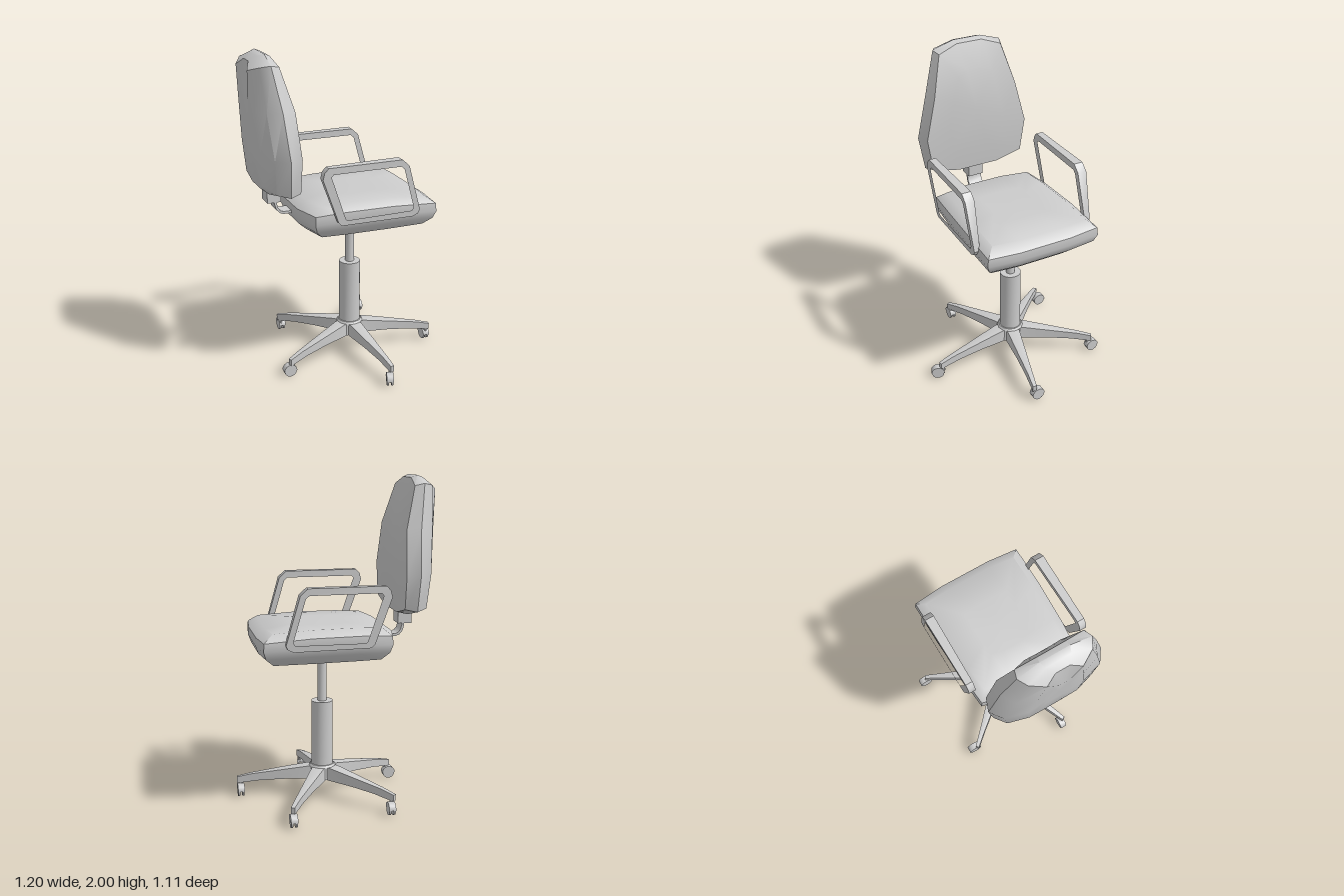
import * as THREE from 'three';
import { toCreasedNormals } from 'three/addons/utils/BufferGeometryUtils.js';

const CX = 0.07, CZ = -0.038; // column axis
const lerp = THREE.MathUtils.lerp;
const material = new THREE.MeshStandardMaterial({ color: 0xcccccc });

function add(parent, name, geometry, crease = 0.6) {
  const mesh = new THREE.Mesh(toCreasedNormals(geometry, crease), material);
  mesh.name = name;
  parent.add(mesh);
  return mesh;
}

// Piecewise-linear lookup in a list of [x, y]
function curve(points, x) {
  for (let i = 1; i < points.length; i++) {
    const [x0, y0] = points[i - 1], [x1, y1] = points[i];
    if (x <= x1) return lerp(y0, y1, THREE.MathUtils.clamp((x - x0) / (x1 - x0), 0, 1));
  }
  return points[points.length - 1][1];
}

// Closed cushion: a flat outline is scaled per layer [scaleU, scaleV, t] and placed in space by map(u, v, t)
function cushion(outline, centre, layers, map) {
  const positions = [], index = [], n = outline.length;
  for (const [su, sv, t] of layers) {
    for (const [u, v] of outline) {
      positions.push(...map(centre[0] + (u - centre[0]) * su, centre[1] + (v - centre[1]) * sv, t));
    }
  }
  for (let i = 0; i < layers.length - 1; i++) {
    for (let j = 0; j < n; j++) {
      const a = i * n + j, b = i * n + (j + 1) % n, c = b + n, d = a + n;
      index.push(a, d, c, a, c, b);
    }
  }
  const geometry = new THREE.BufferGeometry();
  geometry.setAttribute('position', new THREE.Float32BufferAttribute(positions, 3));
  geometry.setIndex(index);
  return geometry.toNonIndexed();
}

// Extrude a 2D outline about z = 0; place(x, y, side) gives the z of each side
function slab(points, place, hole) {
  const shape = new THREE.Shape(points.map(p => new THREE.Vector2(...p)));
  if (hole) shape.holes.push(new THREE.Path(hole.map(p => new THREE.Vector2(...p))));
  const geometry = new THREE.ExtrudeGeometry(shape, { depth: 1, bevelEnabled: false });
  const p = geometry.attributes.position;
  for (let i = 0; i < p.count; i++) p.setZ(i, place(p.getX(i), p.getY(i), p.getZ(i) > 0.5 ? 1 : -1));
  return geometry;
}

function makeSeat(group) {
  const half = [[0.502, 0.17], [0.482, 0.37], [0.2, 0.368], [-0.1, 0.355], [-0.29, 0.338], [-0.335, 0.14]];
  const outline = [...half, ...half.map(([x, z]) => [x, -z]).reverse()];
  const top = [[-0.335, 1.11], [-0.19, 1.13], [0.3, 1.13], [0.43, 1.115], [0.5, 1.105]];
  const layers = [[0, 0, 0], [0.84, 0.84, 0], [0.96, 0.95, 0.25], [1, 1, 0.52], [0.992, 0.985, 0.8],
    [0.85, 0.84, 1], [0.4, 0.4, 1], [0, 0, 1]];
  add(group, 'seat', cushion(outline, [0.08, 0], layers,
    (x, z, t) => [x, lerp(0.93, curve(top, x), t), z - 0.035]), 0.75);
}

function makeBackrest(group) {
  const half = [[0.09, 2], [0.225, 1.955], [0.3, 1.7], [0.37, 1.43], [0.335, 1.215], [0.145, 1.17]];
  const outline = [...half, ...half.map(([z, y]) => [-z, y]).reverse()];
  const front = [[1.17, -0.36], [1.4, -0.355], [1.765, -0.375], [2, -0.46]];
  const rear = [[1.17, -0.53], [1.25, -0.545], [1.92, -0.602], [2, -0.54]];
  const layers = [[0, 0, 0], [0.5, 0.6, 0], [0.92, 0.965, 0.04], [1, 1, 0.42], [0.85, 0.97, 0.8],
    [0.48, 0.9, 1], [0.2, 0.4, 1], [0, 0, 1]];
  add(group, 'backrest', cushion(outline, [0, 1.58], layers,
    (z, y, t) => [lerp(curve(front, y), curve(rear, y), t), y, z - 0.035]), 0.75);

  // Socket block and bent flat bar down to the seat
  add(group, 'backrestSocket', new THREE.BoxGeometry(0.085, 0.11, 0.1)).position.set(-0.443, 1.152, CZ);
  const bend = [[-0.44, 1.12], [-0.44, 1.085], [-0.43, 1.05], [-0.41, 1.027], [-0.385, 1.017], [-0.25, 1.017],
    [-0.25, 1.033], [-0.383, 1.033], [-0.402, 1.04], [-0.417, 1.058], [-0.425, 1.087], [-0.425, 1.12]];
  add(group, 'backrestBar', slab(bend, (x, y, s) => CZ + s * 0.048));
}

function makeArmrests(group) {
  const outer = [[-0.265, 1.32], [-0.255, 1.36], [-0.23, 1.386], [0.23, 1.386], [0.275, 1.345], [0.357, 1.06],
    [0.345, 1.035], [0.31, 1.02], [-0.145, 1.025], [-0.166, 1.045]];
  const inner = [[-0.213, 1.33], [-0.2, 1.345], [0.222, 1.345], [0.243, 1.328], [0.315, 1.078],
    [0.303, 1.058], [-0.11, 1.055], [-0.122, 1.064]];
  for (const side of [1, -1]) {
    // Wide at the pad, narrowing downwards and towards the rear
    const place = (x, y, s) => -0.035 + side * 0.373 +
      s * lerp(0.009, 0.029, THREE.MathUtils.smoothstep(y, 0.8, 1.36)) * lerp(0.75, 1, THREE.MathUtils.clamp((x + 0.26) / 0.5, 0, 1));
    add(group, side > 0 ? 'rightHandArmrest' : 'leftHandArmrest', slab(outer, place, inner));
  }
}

// Twin-wheel caster rolling along its local z
function makeCaster(parent, x, z, yaw) {
  const caster = new THREE.Group();
  caster.name = 'caster';
  caster.position.set(x, 0.04, z);
  caster.rotation.y = yaw;
  for (const s of [-1, 1]) {
    const wheel = add(caster, 'wheel', new THREE.CylinderGeometry(0.039, 0.039, 0.011, 14));
    wheel.rotation.z = Math.PI / 2;
    wheel.position.x = s * 0.0135;
  }
  const hood = add(caster, 'hood', new THREE.CylinderGeometry(0.042, 0.042, 0.042, 10, 1, false, 0, Math.PI));
  hood.rotation.z = Math.PI / 2;
  hood.material = new THREE.MeshStandardMaterial({ color: 0xcccccc, side: THREE.DoubleSide });
  parent.add(caster);
}

function makeBase(group) {
  const base = new THREE.Group();
  base.name = 'starBase';
  group.add(base);
  const profile = [[0.03, 0.125], [0.25, 0.113], [0.4, 0.1], [0.5, 0.085], [0.54, 0.08],
    [0.54, 0.12], [0.45, 0.142], [0.25, 0.178], [0.09, 0.201], [0.03, 0.201]];
  const centres = [[0.578, 0.045], [0.105, 0.508], [-0.42, 0.165], [-0.266, -0.452], [0.337, -0.51]];
  const yaws = [0, -0.35, Math.PI / 2, 0, 0];
  for (let i = 0; i < 5; i++) {
    const angle = THREE.MathUtils.degToRad(12 + 72 * i);
    const leg = add(base, 'leg', slab(profile, (r, y, s) => s * curve([[0.03, 0.05], [0.1, 0.045], [0.25, 0.028], [0.54, 0.014]], r) * (y > 0.17 || r > 0.4 ? 0.85 : 1)));
    leg.position.set(CX, 0, CZ);
    leg.rotation.y = -angle;
    const stem = add(base, 'casterStem', new THREE.CylinderGeometry(0.011, 0.011, 0.06, 8));
    stem.position.set(CX + 0.517 * Math.cos(angle), 0.085, CZ + 0.517 * Math.sin(angle));
    makeCaster(base, ...centres[i], yaws[i]);
  }
  const hub = add(base, 'hub', new THREE.CylinderGeometry(0.08, 0.09, 0.076, 10));
  hub.position.set(CX, 0.163, CZ);
  const collar = add(base, 'collar', new THREE.CylinderGeometry(0.075, 0.085, 0.014, 12));
  collar.position.set(CX, 0.207, CZ);
}

export function createModel() {
  const group = new THREE.Group();
  group.name = 'officeChair';
  makeSeat(group);
  makeBackrest(group);
  makeArmrests(group);
  makeBase(group);

  // Gas lift: wide sleeve and thin piston
  add(group, 'liftSleeve', new THREE.CylinderGeometry(0.067, 0.067, 0.42, 20)).position.set(CX, 0.412, CZ);
  add(group, 'liftPiston', new THREE.CylinderGeometry(0.028, 0.028, 0.28, 16)).position.set(CX, 0.75, CZ);
  return group;
}
